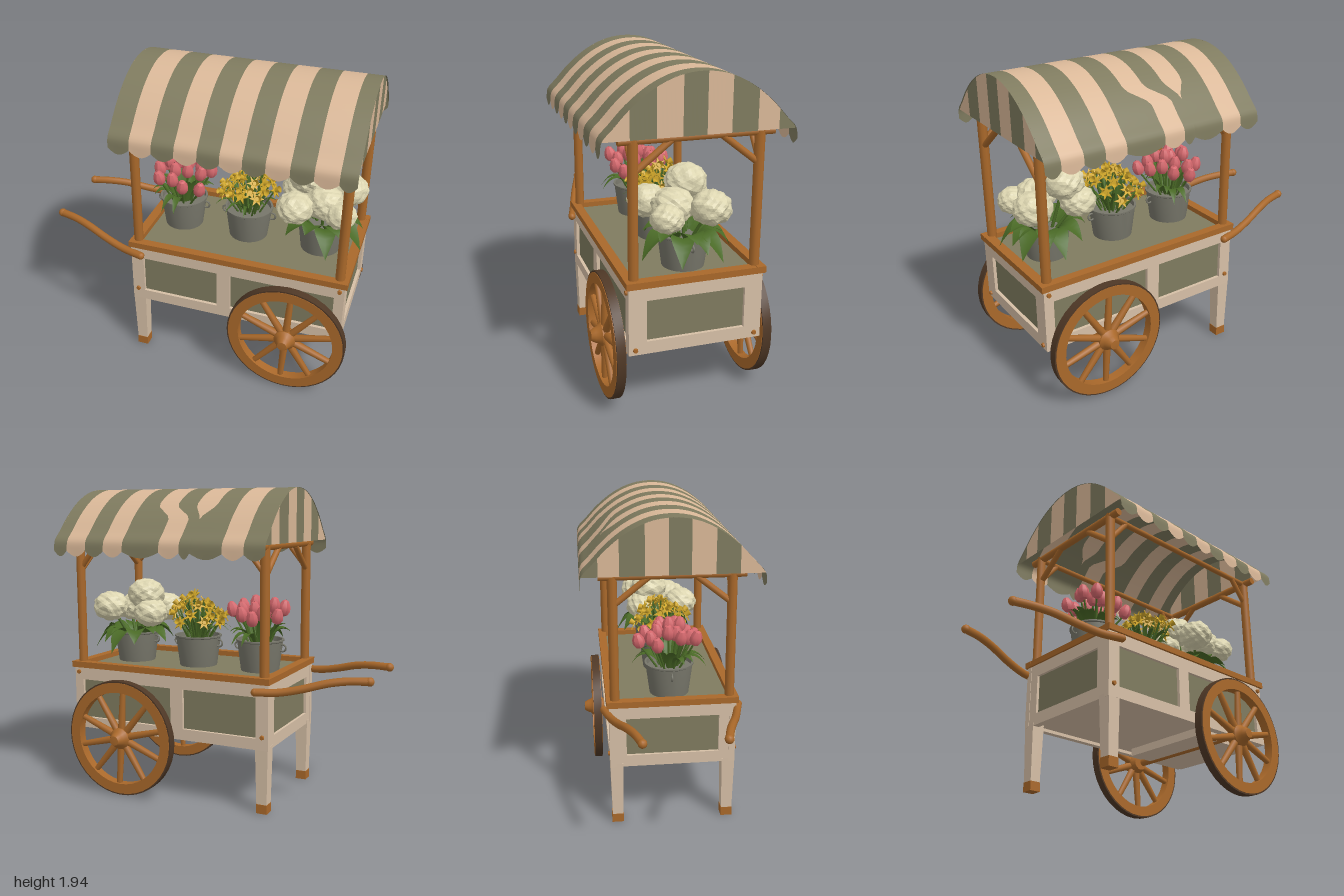
import * as THREE from 'three';
import { toCreasedNormals } from 'three/addons/utils/BufferGeometryUtils.js';

const mat = (name, color, double) => {
  const m = new THREE.MeshStandardMaterial({ color });
  m.name = name;
  if (double) m.side = THREE.DoubleSide;
  return m;
};
const V = (x, y, z) => new THREE.Vector3(x, y, z);

export function createModel() {
  const beige = mat('beigeCanvas', 0xdab898, true), olive = mat('olive', 0x7f7b5f, true);
  const cream = mat('creamPaint', 0xd6bfa6), wood = mat('wood', 0xa9682a), iron = mat('darkTyre', 0x4f3826);
  const metal = mat('bucketMetal', 0x77766a, true), leaf = mat('leafGreen', 0x4a6a26, true);
  const pink = mat('pinkPetal', 0xd4676c, true), yellow = mat('yellowPetal', 0xd2a82a, true);
  const white = mat('ivoryPetal', 0xdcd5b0);

  const model = new THREE.Group();
  model.name = 'flowerCart';
  const add = (name, geo, material, parent = model) => {
    const m = new THREE.Mesh(geo, material);
    m.name = name;
    parent.add(m);
    return m;
  };
  const group = (name, x = 0, y = 0, z = 0) => {
    const g = new THREE.Group();
    g.name = name;
    g.position.set(x, y, z);
    model.add(g);
    return g;
  };
  const box = (name, x0, x1, y0, y1, z0, z1, material) =>
    add(name, new THREE.BoxGeometry(x1 - x0, y1 - y0, z1 - z0), material)
      .position.set((x0 + x1) / 2, (y0 + y1) / 2, (z0 + z1) / 2);
  const rod = (name, a, b, r0, r1, material, parent, sides = 10) => {
    const d = b.clone().sub(a);
    const m = add(name, new THREE.CylinderGeometry(r1, r0, d.length(), sides), material, parent);
    m.position.copy(a).addScaledVector(d, 0.5);
    m.quaternion.setFromUnitVectors(V(0, 1, 0), d.normalize());
    return m;
  };
  // Surface from a rule f(u, v) -> [x, y, z]
  const surface = (nu, nv, f) => {
    const pos = [], idx = [];
    for (let j = 0; j <= nv; j++) for (let i = 0; i <= nu; i++) pos.push(...f(i / nu, j / nv));
    for (let j = 0; j < nv; j++) for (let i = 0; i < nu; i++) {
      const a = j * (nu + 1) + i, b = a + nu + 1;
      idx.push(a, a + 1, b, a + 1, b + 1, b);
    }
    const g = new THREE.BufferGeometry();
    g.setAttribute('position', new THREE.Float32BufferAttribute(pos, 3));
    g.setIndex(idx);
    g.computeVertexNormals();
    return g;
  };
  const lathe = (pts, sides) =>
    toCreasedNormals(new THREE.LatheGeometry(pts.map(p => new THREE.Vector2(...p)), sides), 0.6);

  // Awning: striped canvas over a curved profile with a scalloped hem
  const half = [[0.535, 1.56], [0.525, 1.62], [0.47, 1.68], [0.38, 1.775], [0.26, 1.867], [0.13, 1.925]];
  const arc = new THREE.CatmullRomCurve3([...half, [0, 1.943], ...half.map(([z, y]) => [-z, y]).reverse()]
    .map(([z, y]) => V(0, y, z)));
  const front = [-0.45, -0.32, -0.185, -0.05, 0.085, 0.215, 0.345, 0.475, 0.61, 0.74, 0.875, 0.97];
  const back = [-0.45, -0.32, -0.185, 0.02, 0.02, 0.09, 0.225, 0.475, 0.61, 0.74, 0.875, 0.97];
  for (let i = 0; i < 11; i++) {
    add('awningStripe', surface(8, 48, (u, v) => {
      const s = THREE.MathUtils.smoothstep(v, 0.69, 0.77);
      const edge = k => THREE.MathUtils.lerp(front[k], back[k], s);
      const p = arc.getPoint(v);
      const drop = v === 0 || v === 1 ? 0.035 * Math.sin(Math.PI * u) : 0;
      return [THREE.MathUtils.lerp(edge(i), edge(i + 1), u), p.y - drop, p.z];
    }), i % 2 ? beige : olive);
  }
  // Gable ends
  const roofY = z => {
    let lo = 1 / 12, hi = 0.5;
    for (let k = 0; k < 24; k++) {
      const mid = (lo + hi) / 2;
      if (arc.getPoint(mid).z > Math.abs(z)) lo = mid; else hi = mid;
    }
    return arc.getPoint(lo).y;
  };
  const gableZ = [0.525, 0.38, 0.24, 0.1, -0.03, -0.165, -0.31, -0.43, -0.525];
  for (const x of [-0.445, 0.962]) for (let i = 0; i < 8; i++)
    add('gableStripe', surface(6, 1, (u, v) => {
      const z = THREE.MathUtils.lerp(gableZ[i], gableZ[i + 1], u);
      return [x, v ? roofY(z) : 1.615, z];
    }), i % 2 ? olive : beige);

  // Posts, roof rails and braces
  const postX = [-0.375, 0.905];
  for (const x of postX) {
    const inward = x < 0 ? 1 : -1;
    rod('roofCrossRail', V(x, 1.6, -0.43), V(x, 1.6, 0.43), 0.024, 0.024, wood);
    for (const s of [-1, 1]) {
      const z = 0.35 * s;
      rod('roofPost', V(x, 0.8, z), V(x, 1.6, z), 0.029, 0.029, wood);
      rod('endBrace', V(x, 1.44, 0.33 * s), V(x, 1.59, 0.14 * s), 0.019, 0.019, wood);
      rod('sideBrace', V(x, 1.44, z), V(x + inward * 0.13, 1.6, z), 0.017, 0.017, wood);
    }
  }
  for (const z of [-0.35, 0.35]) rod('roofSideRail', V(-0.4, 1.6, z), V(0.93, 1.6, z), 0.018, 0.018, wood);

  // Body: olive panels within a cream frame
  box('panelCore', -0.395, 0.925, 0.43, 0.805, -0.368, 0.368, olive);
  box('floor', -0.39, 0.92, 0.42, 0.435, -0.365, 0.365, cream);
  for (const s of [-1, 1]) {
    const side = (name, x0, x1, y0, y1) =>
      box(name, x0, x1, y0, y1, Math.min(s * 0.35, s * 0.388), Math.max(s * 0.35, s * 0.388), cream);
    side('topFrame', -0.41, 0.945, 0.72, 0.805);
    side('bottomFrame', -0.41, 0.945, 0.4, 0.47);
    side('centreStile', 0.155, 0.24, 0.47, 0.72);
    side('cornerStile', 0.885, 0.945, 0.47, 0.72);
    side('cornerStile', -0.415, -0.335, 0.4, 0.8);
    const x0 = s < 0 ? -0.412 : 0.9, x1 = s < 0 ? -0.37 : 0.945;
    box('endTopFrame', x0, x1, 0.72, 0.805, -0.386, 0.386, cream);
    box('endBottomFrame', x0, x1, 0.4, 0.475, -0.386, 0.386, cream);
    for (const z of [-0.335, 0.335]) box('endStile', x0, x1, 0.47, 0.73, z - 0.05, z + 0.05, cream);
    // Wooden edging around the deck
    box('deckSideRail', -0.425, 0.96, 0.8, 0.838, s * 0.375 - 0.027, s * 0.375 + 0.027, wood);
    const rx = s < 0 ? -0.395 : 0.93;
    box('deckEndRail', rx - 0.029, rx + 0.029, 0.799, 0.837, -0.4, 0.4, wood);
    // Tapered legs with wooden feet
    const leg = add('leg', new THREE.CylinderGeometry(0.058, 0.047, 0.36, 4).rotateY(Math.PI / 4).toNonIndexed(), cream);
    leg.geometry.computeVertexNormals();
    leg.position.set(-0.373, 0.24, s * 0.347);
    box('foot', -0.408, -0.338, 0.005, 0.062, s * 0.347 - 0.036, s * 0.347 + 0.036, wood);
    // Corner pegs
    for (const [x, y] of [[-0.378, 0.48], [0.915, 0.77]])
      rod('peg', V(x, y, s * 0.38), V(x, y, s * 0.4), 0.016, 0.012, wood);
    rod('endPeg', V(0.94, 0.43, s * 0.35), V(0.956, 0.43, s * 0.35), 0.016, 0.012, wood);
    // Curved push handles
    const path = new THREE.CatmullRomCurve3([V(-0.34, 0.757, s * 0.415), V(-0.47, 0.76, s * 0.38),
      V(-0.6, 0.785, s * 0.345), V(-0.75, 0.825, s * 0.3), V(-0.86, 0.84, s * 0.265), V(-0.975, 0.842, s * 0.235)]);
    add('handle', new THREE.TubeGeometry(path, 24, 0.024, 10), wood);
    for (const t of [0, 1])
      add('handleTip', new THREE.SphereGeometry(t ? 0.027 : 0.024, 10, 8), wood).position.copy(path.getPoint(t));
  }

  // Axle and wheels
  box('axleBlock', 0.4, 0.88, 0.37, 0.425, -0.3, 0.3, cream);
  rod('axle', V(0.595, 0.385, -0.44), V(0.595, 0.385, 0.44), 0.026, 0.026, wood);
  const ring = (r0, r1, w) => lathe([[r0, -w], [r1, -w], [r1, w], [r0, w], [r0, -w]], 40).rotateX(Math.PI / 2);
  for (const s of [1, -1]) {
    const wheel = group('wheel', s > 0 ? 0.62 : 0.57, 0.378, s * 0.44);
    wheel.rotation.y = s > 0 ? 0 : Math.PI;
    add('rim', ring(0.298, 0.362, 0.029), wood, wheel);
    add('tyre', ring(0.355, 0.371, 0.026), iron, wheel);
    add('hub', lathe([[0, -0.05], [0.05, -0.05], [0.068, -0.02], [0.068, 0.025], [0.05, 0.045], [0.045, 0.06],
      [0.03, 0.085], [0, 0.088]], 16).rotateX(Math.PI / 2), wood, wheel);
    for (let i = 0; i < 10; i++) {
      const a = (i + 0.4) * Math.PI / 5, c = Math.cos(a), d = Math.sin(a);
      rod('spoke', V(c * 0.04, d * 0.04, 0), V(c * 0.31, d * 0.31, 0), 0.024, 0.018, wood, wheel, 8);
    }
  }

  // Buckets
  const bucketAt = (name, x) => {
    const g = group(name, x, 0.805, 0);
    add('bucket', lathe([[0, 0], [0.122, 0], [0.146, 0.185], [0.153, 0.19], [0.153, 0.2], [0.14, 0.2], [0.136, 0.17], [0, 0.17]], 28), metal, g);
    for (const s of [-1, 1]) {
      const ear = add('bucketEar', new THREE.TorusGeometry(0.022, 0.006, 6, 12), metal, g);
      ear.position.set(s * 0.152, 0.15, 0);
    }
    return g;
  };
  // Folded leaf blade: reaches outward, rises, then droops
  const blade = (g, a, r0, reach, rise, droop, w) => add('leaf', surface(2, 8, (u, v) => {
    const r = r0 + reach * v, h = 0.17 + rise * v - droop * v * v;
    const k = (u * 2 - 1) * w * Math.sin(Math.PI * (0.12 + 0.88 * v)), c = Math.cos(a), s = Math.sin(a);
    return [c * r - s * k, h + Math.abs(k) * 0.35, s * r + c * k];
  }), leaf, g);
  const spiral = (i, n, r) => {
    const a = i * 2.4, q = r * Math.sqrt((i + 0.4) / n);
    return [a, q, Math.cos(a) * q, Math.sin(a) * q];
  };

  // Tulips
  const tulips = bucketAt('tulipBucket', -0.2);
  for (let i = 0; i < 17; i++) {
    const [a, q, x, z] = spiral(i, 17, 0.19), y = 0.41 - q * 0.45 + 0.025 * Math.sin(i * 5);
    rod('stem', V(x * 0.4, 0.16, z * 0.4), V(x, y, z), 0.007, 0.006, leaf, tulips, 5);
    const t = add('tulip', lathe([[0, -0.012], [0.026, 0], [0.039, 0.025], [0.036, 0.055], [0.02, 0.085], [0.004, 0.092]], 8), pink, tulips);
    t.position.set(x, y - 0.01, z);
    t.rotation.set(z * 1.5, 0, -x * 1.5);
    blade(tulips, a + 0.6, 0.05, 0.08 + (i % 4) * 0.035, 0.29, 0.1 + (i % 4) * 0.06, 0.026);
  }
  // Daffodils: six-pointed star with a trumpet
  const star = new THREE.Shape();
  for (let i = 0; i < 12; i++) {
    const r = i % 2 ? 0.02 : 0.05, a = i * Math.PI / 6;
    star[i ? 'lineTo' : 'moveTo'](Math.cos(a) * r, Math.sin(a) * r);
  }
  const starGeo = new THREE.ExtrudeGeometry(star, { depth: 0.006, bevelEnabled: false });
  const trumpetGeo = new THREE.CylinderGeometry(0.021, 0.013, 0.036, 8, 1, true).rotateX(Math.PI / 2).translate(0, 0, 0.02);
  const daffodils = bucketAt('daffodilBucket', 0.24);
  for (let i = 0; i < 26; i++) {
    const [a, q, x, z] = spiral(i, 26, 0.185), y = 0.47 - q * 0.85 + 0.035 * Math.sin(i * 4);
    rod('stem', V(x * 0.4, 0.16, z * 0.4), V(x, y, z), 0.006, 0.005, leaf, daffodils, 5);
    const f = new THREE.Group();
    f.name = 'daffodil';
    f.position.set(x, y, z);
    f.quaternion.setFromUnitVectors(V(0, 0, 1), V(Math.cos(a), 0.5 + 0.4 * Math.sin(i * 3), Math.sin(a)).normalize());
    add('petals', starGeo, yellow, f);
    add('trumpet', trumpetGeo, yellow, f);
    daffodils.add(f);
    blade(daffodils, a + 0.4, 0.04, 0.06 + (i % 5) * 0.03, 0.32, 0.05 + (i % 5) * 0.05, 0.013);
  }
  // Hydrangeas: lumpy round heads over broad leaves
  const hydrangeas = bucketAt('hydrangeaBucket', 0.71);
  const head = new THREE.IcosahedronGeometry(1, 6), hp = head.attributes.position, p = V();
  for (let i = 0; i < hp.count; i++) {
    p.fromBufferAttribute(hp, i);
    p.multiplyScalar(0.98 + 0.05 * Math.sin(p.x * 9 + p.z * 4) * Math.sin(p.y * 9 + 1) + 0.03 * Math.sin(p.z * 13 - p.y * 6));
    hp.setXYZ(i, p.x, p.y, p.z);
  }
  head.computeVertexNormals();
  for (const [x, y, z, r] of [[-0.11, 0.455, -0.05, 0.122], [-0.14, 0.35, 0.17, 0.112], [0.02, 0.36, 0.07, 0.122],
    [0.13, 0.37, -0.11, 0.117], [-0.17, 0.34, -0.1, 0.11], [0.13, 0.33, 0.14, 0.095]]) {
    const h = add('hydrangea', head, white, hydrangeas);
    h.position.set(x, y, z);
    h.scale.set(r, r * 0.85, r);
    h.rotation.y = x * 20;
    rod('stem', V(x * 0.3, 0.16, z * 0.3), V(x, y, z), 0.01, 0.009, leaf, hydrangeas, 6);
  }
  for (let i = 0; i < 14; i++)
    blade(hydrangeas, i * 2.4, 0.08, 0.15 + (i % 3) * 0.025, 0.2, 0.17 + (i % 3) * 0.06, 0.065);

  return model;
}
